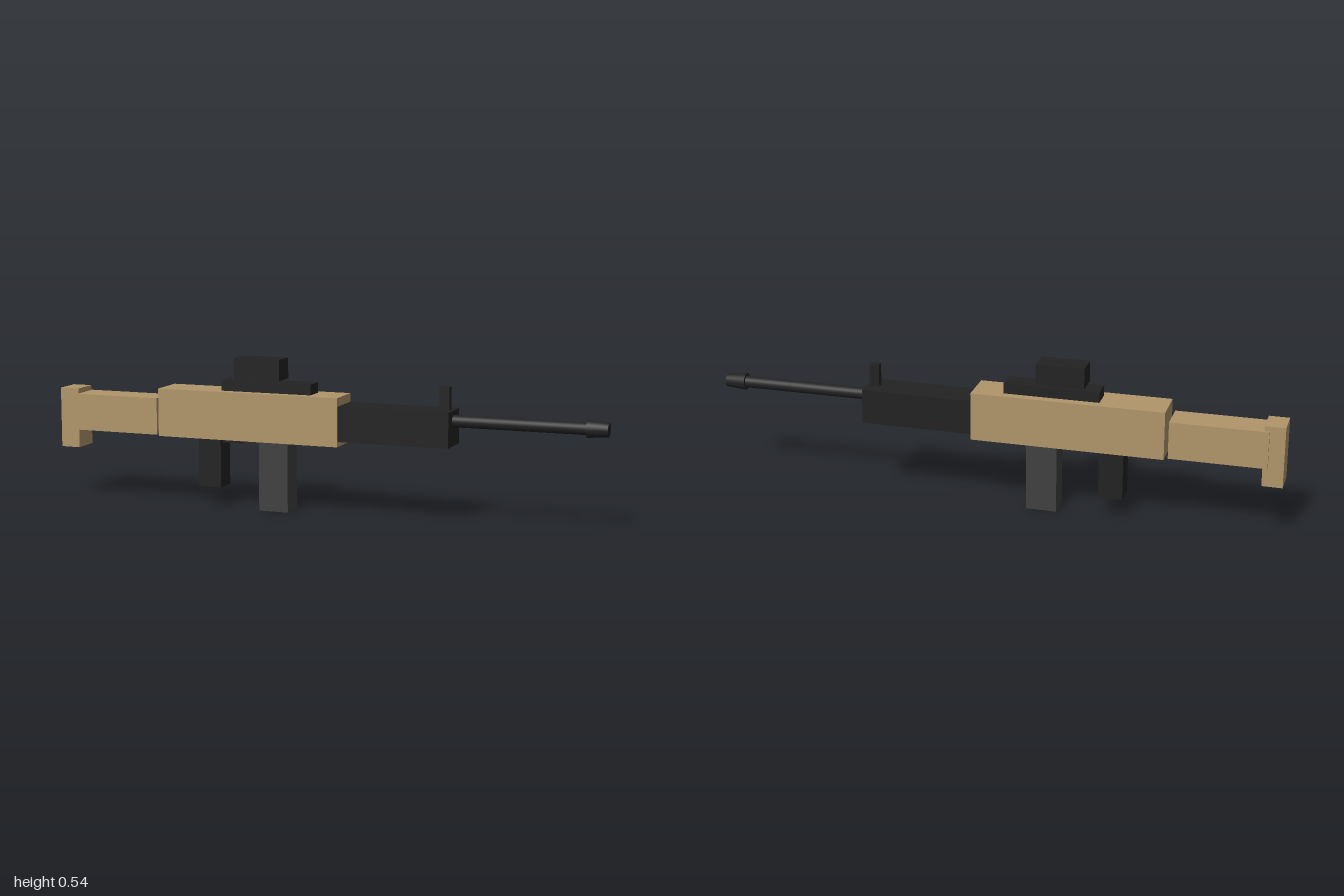
import * as THREE from 'three';

const material = (color) => new THREE.MeshStandardMaterial({ color });

export function createModel() {
  const model = new THREE.Group();
  const tan = material(0xb0956a);
  const black = material(0x222222);
  const grey = material(0x404040);

  // Box from its x and y extents and its full depth
  function box(name, mat, x0, x1, y0, y1, depth) {
    const mesh = new THREE.Mesh(new THREE.BoxGeometry(x1 - x0, y1 - y0, depth), mat);
    mesh.name = name;
    mesh.position.set((x0 + x1) / 2, (y0 + y1) / 2, 0);
    model.add(mesh);
  }

  // Round part lying along x, with a radius at each end
  function rod(name, mat, x0, x1, y, r0, r1) {
    const geometry = new THREE.CylinderGeometry(r1, r0, x1 - x0, 24).rotateZ(-Math.PI / 2);
    const mesh = new THREE.Mesh(geometry, mat);
    mesh.name = name;
    mesh.position.set((x0 + x1) / 2, y, 0);
    model.add(mesh);
  }

  // Body and shoulder stock
  box('receiver', tan, -0.6, 0.075, 0.247, 0.417, 0.135);
  box('stock', tan, -0.947, -0.612, 0.249, 0.38, 0.114);
  box('buttPlate', tan, -1, -0.929, 0.183, 0.398, 0.098);

  // Fore-end and barrel
  box('handguard', black, 0.075, 0.47, 0.265, 0.387, 0.124);
  rod('barrel', black, 0.46, 0.95, 0.351, 0.021, 0.021);
  rod('muzzle', black, 0.928, 1, 0.351, 0.03, 0.024);
  box('frontSight', black, 0.423, 0.458, 0.38, 0.466, 0.024);

  // Parts under the receiver
  box('grip', black, -0.457, -0.372, 0.071, 0.25, 0.08);
  box('triggerGuard', black, -0.4, -0.3, 0.231, 0.25, 0.05);
  box('magazine', grey, -0.225, -0.117, 0, 0.25, 0.085);

  // Sight on its rail
  box('rail', black, -0.369, -0.034, 0.415, 0.454, 0.073);
  box('scope', black, -0.317, -0.148, 0.461, 0.535, 0.085);

  return model;
}
